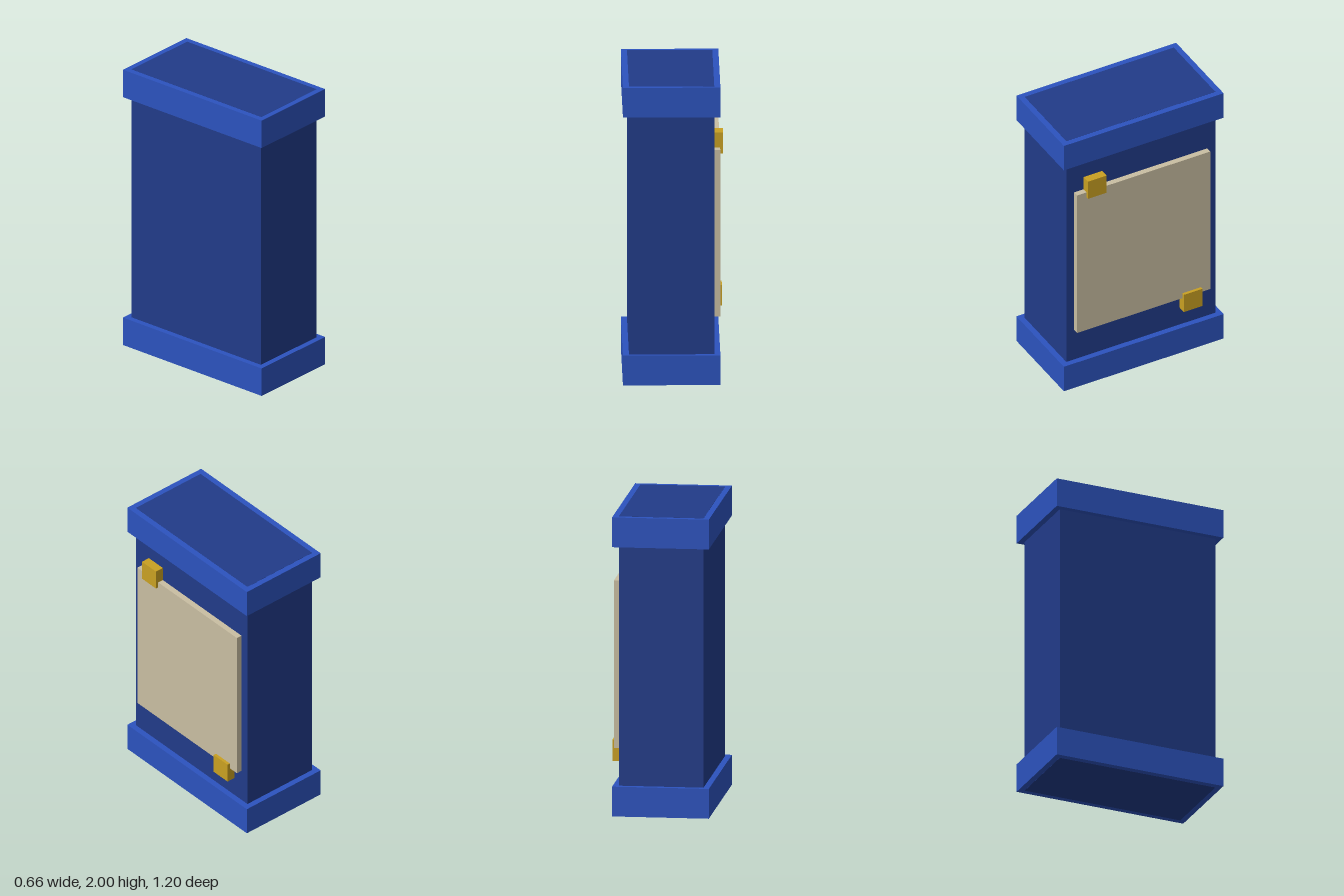
import * as THREE from 'three';

const material = (name, color) => {
  const m = new THREE.MeshStandardMaterial({ color });
  m.name = name;
  return m;
};

// Box given by its extents along each axis
function box(name, mat, [x0, x1], [y0, y1], [z0, z1]) {
  const mesh = new THREE.Mesh(new THREE.BoxGeometry(x1 - x0, y1 - y0, z1 - z0), mat);
  mesh.position.set((x0 + x1) / 2, (y0 + y1) / 2, (z0 + z1) / 2);
  mesh.name = name;
  return mesh;
}

export function createModel() {
  const navy = material('navy blue', 0x213b89);
  const blue = material('bright blue', 0x2c53be);
  const cream = material('cream', 0xc9bea2);
  const gold = material('gold', 0xc9a022);

  const model = new THREE.Group();
  model.name = 'panelledPillar';

  // Core, standing a hair proud of the collars at top and bottom
  model.add(box('body', navy, [-0.29, 0.27], [0, 2], [-0.56, 0.56]));

  // Wider collars at the foot and head
  model.add(box('baseCollar', blue, [-0.33, 0.31], [0.001, 0.2], [-0.6, 0.6]));
  model.add(box('topCollar', blue, [-0.33, 0.31], [1.8, 1.999], [-0.6, 0.6]));

  // Panel on the left side, held by clips at opposite corners
  model.add(box('sidePanel', cream, [0.265, 0.31], [0.44, 1.56], [-0.5, 0.5]));
  for (const [name, y, z] of [['upperClip', 1.59, 0.36], ['lowerClip', 0.41, -0.36]]) {
    model.add(box(name, gold, [0.265, 0.33], [y - 0.07, y + 0.07], [z - 0.07, z + 0.07]));
  }
  return model;
}
